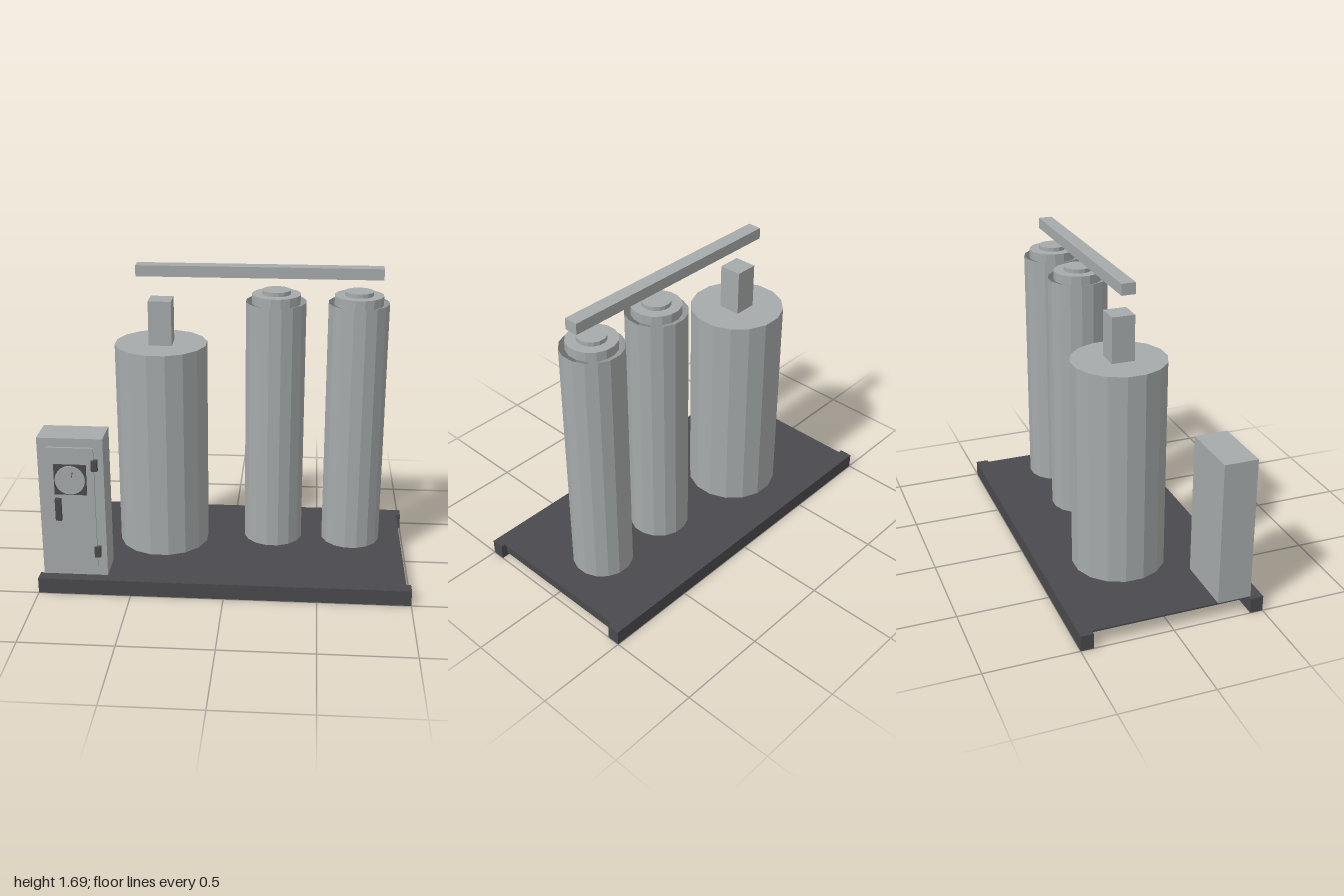
import * as THREE from 'three';

export function createModel() {
  const model = new THREE.Group();
  model.name = 'processSkid';

  const grey = new THREE.MeshStandardMaterial({ color: 0xa6aaaa, flatShading: true });
  grey.name = 'paleGrey';
  const greyOpen = new THREE.MeshStandardMaterial({ color: 0xa6aaaa, flatShading: true, side: THREE.DoubleSide });
  greyOpen.name = 'paleGreyOpen';
  const dark = new THREE.MeshStandardMaterial({ color: 0x4a494d, flatShading: true });
  dark.name = 'darkGrey';

  const add = (name, geometry, material, parent = model) => {
    const mesh = new THREE.Mesh(geometry, material);
    mesh.name = name;
    parent.add(mesh);
    return mesh;
  };

  // Box given by its limits on each axis
  const box = (name, [x0, x1], [y0, y1], [z0, z1], material, parent) => {
    const mesh = add(name, new THREE.BoxGeometry(x1 - x0, y1 - y0, z1 - z0), material, parent);
    mesh.position.set((x0 + x1) / 2, (y0 + y1) / 2, (z0 + z1) / 2);
    return mesh;
  };

  // Upright 16-sided drum with a flat side to the front
  const drum = (name, x, z, r, y0, y1, material, open = false, parent = model) => {
    const g = new THREE.CylinderGeometry(r, r, y1 - y0, 16, 1, open).rotateY(Math.PI / 16);
    const mesh = add(name, g, material, parent);
    mesh.position.set(x, (y0 + y1) / 2, z);
    return mesh;
  };

  const axisZ = -0.065;

  // Skid base: deck plate, two long rails, cross beams
  const base = new THREE.Group();
  base.name = 'base';
  model.add(base);
  box('deck', [-0.975, 0.975], [0.078, 0.087], [-0.499, 0.499], dark, base);
  for (const s of [-1, 1]) {
    const z = s * 0.465;
    box('rail', [-1, 1], [0, 0.086], [z - 0.035, z + 0.035], dark, base);
  }
  for (let i = 0; i < 4; i++) {
    const x = 0.93 - i * 0.5;
    box('crossBeam', [x - 0.035, x + 0.035], [0.02, 0.08], [-0.43, 0.43], dark, base);
  }

  // Large tank with square neck
  drum('tank', -0.38, axisZ, 0.253, 0.087, 1.255, grey);
  box('tankNeck', [-0.44, -0.315], [1.255, 1.5], [axisZ - 0.062, axisZ + 0.062], grey);

  // Two tall columns: open shell with stepped caps
  for (const x of [0.245, 0.685]) {
    const column = new THREE.Group();
    column.name = 'column';
    model.add(column);
    drum('columnShell', x, axisZ, 0.164, 0.125, 1.5, greyOpen, true, column);
    drum('columnCap', x, axisZ, 0.132, 1.49, 1.54, grey, false, column);
    drum('columnPort', x, axisZ, 0.077, 1.54, 1.562, grey, false, column);
  }

  // Overhead pipe
  box('overheadPipe', [-0.505, 0.81], [1.63, 1.69], [axisZ - 0.038, axisZ + 0.038], grey);

  // Control cabinet with door, gauge, handle and hinges
  const cabinet = new THREE.Group();
  cabinet.name = 'controlCabinet';
  model.add(cabinet);
  box('cabinetBody', [-0.978, -0.63], [0.087, 0.878], [0.253, 0.437], grey, cabinet);
  box('door', [-0.928, -0.68], [0.142, 0.83], [0.437, 0.45], grey, cabinet);
  box('gaugePlate', [-0.892, -0.72], [0.567, 0.738], [0.45, 0.457], dark, cabinet);
  const dial = add('gaugeDial', new THREE.CylinderGeometry(0.08, 0.08, 0.009, 32).rotateX(Math.PI / 2), grey, cabinet);
  dial.position.set(-0.806, 0.652, 0.4605);
  const needle = box('gaugeNeedle', [-0.795, -0.791], [0.67, 0.7], [0.465, 0.466], dark, cabinet);
  needle.rotation.z = -0.15;
  box('handle', [-0.891, -0.859], [0.42, 0.545], [0.45, 0.47], dark, cabinet);
  for (const y of [0.205, 0.705]) {
    box('hinge', [-0.692, -0.66], [y, y + 0.06], [0.437, 0.464], dark, cabinet);
  }

  return model;
}
